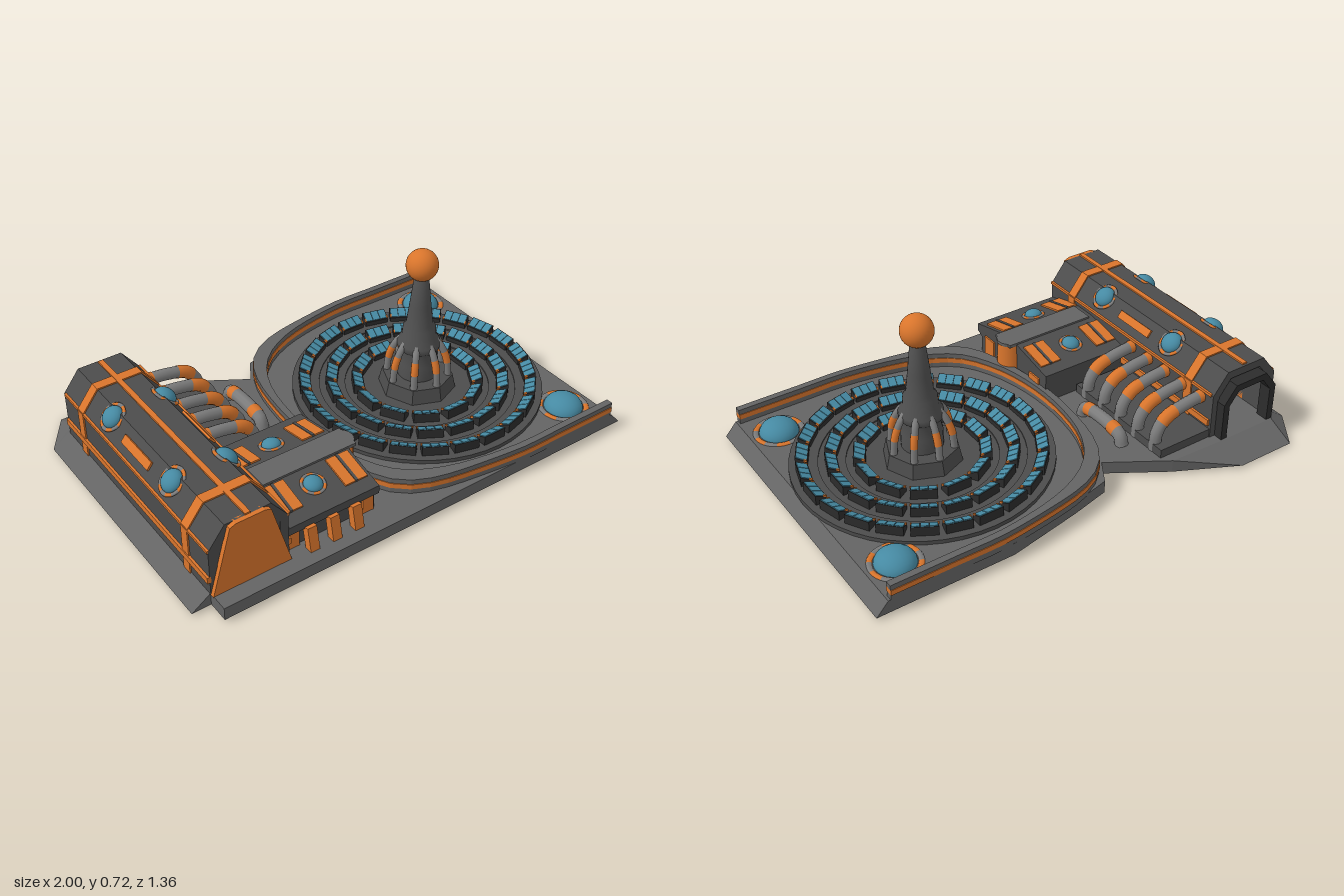
import * as THREE from 'three';

const mat = (color, flat = false) => new THREE.MeshStandardMaterial({ color, flatShading: flat, side: THREE.DoubleSide });
const DARK = mat(0x4c4c4c, true), SMOOTH = mat(0x505050), FLOOR = mat(0x646464, true), BLACK = mat(0x2c2c2c, true);
const PIPE = mat(0x7c7c7c), ORANGE = mat(0xd9752c), BLUE = mat(0x468aa3);
const V = (x, y, z) => new THREE.Vector3(x, y, z);

export function createModel() {
  const root = new THREE.Group();
  const add = (name, geo, m, parent = root) => {
    const mesh = new THREE.Mesh(geo, m);
    mesh.name = name;
    parent.add(mesh);
    return mesh;
  };
  const box = (name, m, w, h, d, x, y, z, parent) => {
    const b = add(name, new THREE.BoxGeometry(w, h, d), m, parent);
    b.position.set(x, y, z);
    return b;
  };
  const shapeOf = pts => new THREE.Shape(pts.map(p => new THREE.Vector2(p[0], p[1])));
  const extrude = (pts, depth) => new THREE.ExtrudeGeometry(shapeOf(pts), { depth, bevelEnabled: false });
  // Plan outline (x, z) raised from y0 to y1
  const slab = (pts, y0, y1) => extrude(pts, y1 - y0).rotateX(Math.PI / 2).translate(0, y1, 0);

  // Flattened dome with a ring of alternating segments
  const dome = (name, pos, normal, r, bulge) => {
    const g = new THREE.Group();
    g.name = name;
    g.position.copy(pos);
    g.quaternion.setFromUnitVectors(V(0, 0, 1), normal.clone().normalize());
    add('domeGlass', new THREE.SphereGeometry(r, 20, 14).scale(1, 1, bulge / r), BLUE, g);
    const n = 12, arc = Math.PI * 2 / n;
    for (let i = 0; i < n; i++) {
      const ring = new THREE.TorusGeometry(r * 1.16, r * 0.18, 6, 3, arc).scale(1, 1, 0.8).rotateZ(i * arc);
      add('domeRing', ring, i % 2 ? PIPE : ORANGE, g);
    }
    root.add(g);
  };
  // Pipe with orange bands over given path ranges
  const pipe = (name, pts, r, bands) => {
    const curve = new THREE.CatmullRomCurve3(pts);
    const g = new THREE.Group();
    g.name = name;
    add('pipe', new THREE.TubeGeometry(curve, 20, r, 10), PIPE, g);
    for (const [a, b] of bands) {
      const part = new THREE.CatmullRomCurve3([0, 0.33, 0.67, 1].map(t => curve.getPointAt(a + (b - a) * t)));
      add('pipeBand', new THREE.TubeGeometry(part, 6, r * 1.07, 10), ORANGE, g);
    }
    root.add(g);
    return g;
  };

  // Ground slab, its top drawn in on the left, right and back
  const base = slab([[-1, -.52], [-.89, -.68], [-.63, -.68], [-.37, -.55], [-.13, -.4], [-.07, -.5], [.1, -.54], [.42, -.6],
    [1, -.6], [1, .67], [-.92, .67], [-.92, .58], [-1, .58]], .01, .065);
  const bp = base.attributes.position;
  for (let i = 0; i < bp.count; i++) {
    if (bp.getY(i) < .04) continue;
    if (bp.getX(i) < -.92) bp.setX(i, -.92);
    if (bp.getX(i) > .95) bp.setX(i, .95);
    if (bp.getX(i) < -.3 && bp.getZ(i) < -.56) bp.setZ(i, -.56);
  }
  base.computeVertexNormals();
  add('groundSlab', base, FLOOR);

  // Arena wall: horseshoe of three layers, open on the right
  const path = new THREE.CatmullRomCurve3([[.94, -.588], [.68, -.588], [.42, -.585], [.12, -.52], [-.04, -.42], [-.13, -.28], [-.175, -.08],
    [-.175, .14], [-.13, .34], [-.04, .5], [.12, .595], [.42, .655], [.68, .658], [.94, .658]].map(p => V(p[0], 0, p[1])));
  const wall = (y0, y1, grow, m) => {
    const outer = [], inner = [];
    for (let i = 0; i <= 44; i++) {
      const t = i / 44, p = path.getPointAt(t), d = path.getTangentAt(t);
      const w = .014 + grow, wide = .035 * Math.exp(-(((Math.abs(t - .5) - .17) / .07) ** 2));
      outer.push([p.x + d.z * w, p.z - d.x * w]);
      inner.unshift([p.x - d.z * (w + wide), p.z + d.x * (w + wide)]);
    }
    add('arenaWall', slab([...outer, ...inner], y0, y1), m);
  };
  wall(.06, .088, 0, FLOOR);
  wall(.088, .11, .003, ORANGE);
  wall(.11, .132, 0, FLOOR);

  // Stepped arena floor
  const CX = .43, CZ = .035;
  const floor = [[.001, .07], [.305, .07], [.305, .076], [.415, .076], [.415, .082], [.53, .082], [.53, .064]];
  add('arenaFloor', new THREE.LatheGeometry(floor.map(p => new THREE.Vector2(...p)), 48), DARK).position.set(CX, 0, CZ);

  // Three rings of desks with screens sloping to the middle
  const deskGeo = extrude([[-.024, 0], [.024, 0], [.024, .048], [-.024, .026]], .106).translate(0, 0, -.053);
  const tilt = Math.atan2(.022, .048);
  [[.25, 12, .066], [.36, 18, .07], [.475, 24, .076]].forEach(([r, n, y]) => {
    for (let i = 0; i < n; i++) {
      const g = new THREE.Group(), a = i / n * Math.PI * 2;
      g.name = 'desk';
      g.position.set(CX + Math.cos(a) * r, y, CZ + Math.sin(a) * r);
      g.rotation.y = -a;
      add('deskBody', deskGeo, BLACK, g);
      for (const s of [-1, 0, 1]) box('screen', BLUE, .044, .005, .031, 0, .038, s * .034, g).rotation.z = tilt;
      for (const s of [-1, 1]) box('deskTrim', ORANGE, .014, .007, .006, -.016, .032, s * .051, g).rotation.z = tilt;
      root.add(g);
    }
  });

  // Central tower with plinth, ball and eight legs
  add('towerPlinth', new THREE.CylinderGeometry(.15, .165, .07, 8), DARK).position.set(CX, .098, CZ);
  const tower = [[.085, .13], [.085, .2], [.072, .25], [.09, .27], [.09, .295], [.072, .325], [.068, .365], [.056, .38], [.045, .47], [.03, .6], [.001, .61]];
  add('tower', new THREE.LatheGeometry(tower.map(p => new THREE.Vector2(...p)), 24), SMOOTH).position.set(CX, 0, CZ);
  add('towerBall', new THREE.SphereGeometry(.067, 28, 20), ORANGE).position.set(CX, .655, CZ);
  for (let i = 0; i < 8; i++) {
    const leg = pipe('towerLeg', [V(.07, .3, 0), V(.095, .27, 0), V(.12, .21, 0), V(.13, .13, 0)], .015, [[.35, .65]]);
    leg.position.set(CX, 0, CZ);
    leg.rotation.y = i * Math.PI / 4;
  }

  // Corner domes
  for (const z of [-.44, .51]) dome('cornerDome', V(.83, .06, z), V(0, 1, 0), .082, .06);

  // Hangar: faceted tunnel, closed at the front
  const HX = -.757;
  const arch = (k, grow = 0, thick = .035) => {
    const side = o => [[.165 + o, .062], [.165 + o, .265 + o * .4], [.095 + o * .5, .355 + o]].map(([x, y]) => [x * k, .062 + (y - .062) * k]);
    const full = o => { const r = side(o); return [...r, ...r.map(p => [-p[0], p[1]]).reverse()]; };
    return [...full(grow), ...full(-thick).reverse()];
  };
  const archPart = (name, pts, z0, z1, m) => add(name, extrude(pts, z1 - z0), m).position.set(HX, 0, z0);
  archPart('hangarShell', arch(1), -.515, .585, DARK);
  archPart('hangarMouth', arch(.84), -.555, -.5, BLACK);
  for (const z of [.43, -.365]) archPart('hangarBand', arch(1, .006), z - .022, z + .022, ORANGE);
  const cap = [[-.165, .062], [.165, .062], [.085, .345], [.06, .355], [-.06, .355], [-.085, .345]];
  archPart('hangarFront', cap, .575, .603, ORANGE);
  archPart('hangarFrontBacking', [[-.16, .062], [.16, .062], [.16, .262], [.092, .35], [-.092, .35], [-.16, .262]], .56, .583, DARK);
  box('hangarSpine', ORANGE, .022, .012, 1.09, HX, .356, .04);
  for (const s of [-1, 1]) {
    box('hangarSill', ORANGE, .016, .028, 1.09, HX + s * .167, .133, .04);
    box('hangarEdge', ORANGE, .01, .012, 1.09, HX + s * .165, .265, .04);
    const bar = box('hangarBar', ORANGE, .035, .014, .2, HX + s * .13, .313, .03);
    bar.rotation.z = -s * .91;
    for (const z of [.26, -.19]) dome('hangarDome', V(HX + s * .113, .33, z), V(s * .62, .78, 0), .046, .034);
  }

  // Feed pipes from the hangar
  for (let i = 0; i < 5; i++) {
    const z = -.445 + i * .111;
    pipe('feedPipe', [V(-.62, .235, z), V(-.5, .222, z), V(-.41, .195, z), V(-.368, .14, z), V(-.362, .06, z)], .026, [[.06, .14], [.45, .66]]);
  }
  box('pipeBed', DARK, .26, .05, .56, -.47, .078, -.23);
  pipe('groundPipe', [V(-.27, .06, -.35), V(-.27, .1, -.335), V(-.27, .115, -.28), V(-.27, .115, -.16), V(-.27, .1, -.105), V(-.27, .06, -.09)],
    .028, [[.2, .32], [.68, .8]]);

  // Control house with ridged roof
  const house = [[.06, .062], [.06, .195], [.28, .24], [.38, .24], [.58, .19], [.58, .155], [.55, .14], [.55, .062]];
  add('controlHouse', extrude(house, .42).rotateY(-Math.PI / 2).translate(-.185, 0, 0), DARK);
  box('roofRidge', FLOOR, .42, .014, .11, -.36, .24, .33);
  add('ridgeEnd', new THREE.CylinderGeometry(.055, .055, .014, 20), FLOOR).position.set(-.185, .24, .33);
  add('towerPost', new THREE.CylinderGeometry(.055, .06, .17, 20), ORANGE).position.set(-.19, .148, .33);
  const slopes = [[.46, .222, .245], [.18, .22, -.2]]; // z, height, tilt
  for (const [z, y, a] of slopes) {
    for (const x of [-.54, -.25]) {
      box('roofPanel', ORANGE, .1, .012, .135, x, y, z).rotation.x = a;
      box('roofPanelRib', DARK, .012, .018, .137, x, y, z).rotation.x = a;
    }
    dome('roofDome', V(-.4, y, z), V(0, Math.cos(a), Math.sin(a)), .038, .026);
  }
  // Front props and side panels of the house
  for (const x of [-.5, -.4, -.3]) box('frontProp', ORANGE, .04, .105, .035, x, .11, .592).rotation.x = -.2;
  for (const x of [-.555, -.22]) box('frontPanel', ORANGE, .05, .085, .02, x, .105, .55);
  for (const z of [.14, .48]) box('sidePanel', ORANGE, .012, .09, .07, -.184, .115, z);

  return root;
}
